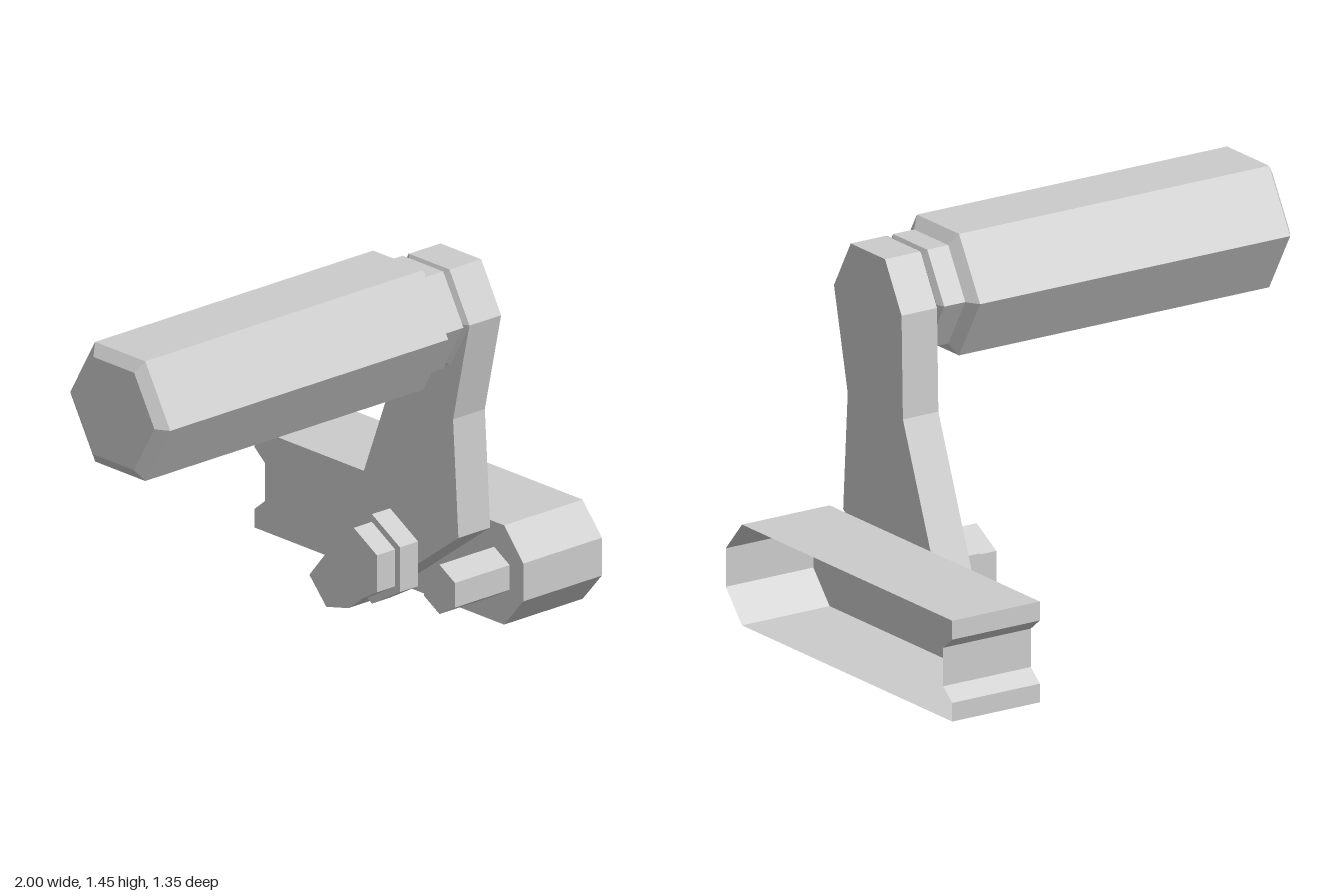
import * as THREE from 'three';

const mat = new THREE.MeshStandardMaterial({ color: 0xcccccc, flatShading: true });
const shellMat = new THREE.MeshStandardMaterial({ color: 0xcccccc, flatShading: true, side: THREE.DoubleSide });

// Outline of [z, y] points as a shape that faces +x once turned
const outline = (pts) => new THREE.Shape(pts.map(([z, y]) => new THREE.Vector2(-z, y)));

// Six-sided bar along x from a profile of [x, radius]; pointed puts corners at top and bottom
function hexBar(name, y, z, profile, pointed = false) {
  const pts = profile.map(([x, r]) => new THREE.Vector2(r, x));
  pts.unshift(new THREE.Vector2(0, profile[0][0]));
  pts.push(new THREE.Vector2(0, profile[profile.length - 1][0]));
  const geo = new THREE.LatheGeometry(pts, 6, pointed ? Math.PI / 6 : 0);
  geo.rotateZ(-Math.PI / 2);
  const mesh = new THREE.Mesh(geo, mat);
  mesh.name = name;
  mesh.position.set(0, y, z);
  return mesh;
}

// Crank arm: bent plate with a hexagonal head
function makeArm() {
  const geo = new THREE.ExtrudeGeometry(outline([
    [0.5, 1.406], [0.295, 1.406], [0.196, 1.23], [0.188, 0.86], [-0.02, 0.32],
    [-0.205, 0.095], [-0.12, 0.002], [-0.01, 0.028], [0.545, 0.44], [0.518, 0.865], [0.6, 1.23],
  ]), { depth: 0.147, bevelEnabled: false });
  geo.rotateY(Math.PI / 2).translate(0.458, 0, 0);
  const mesh = new THREE.Mesh(geo, mat);
  mesh.name = 'crankArm';
  return mesh;
}

// Pedal: thin shell, closed towards the arm and open on its outer side
function makePedal() {
  const x0 = 0.637, x1 = 1;
  const pts = [
    [0.58, 0.45], [-0.677, 0.45], [-0.677, 0.382], [-0.623, 0.338], [-0.623, 0.2],
    [-0.677, 0.155], [-0.677, 0.088], [0.58, 0.088], [0.677, 0.2], [0.677, 0.338],
  ];
  const pos = [];
  pts.forEach(([z, y], i) => {
    const [w, v] = pts[(i + 1) % pts.length];
    pos.push(x0, y, z, x1, y, z, x1, v, w, x0, y, z, x1, v, w, x0, v, w);
  });
  const rim = new THREE.BufferGeometry();
  rim.setAttribute('position', new THREE.Float32BufferAttribute(pos, 3));
  rim.computeVertexNormals();
  const plate = new THREE.ShapeGeometry(outline(pts));
  plate.rotateY(Math.PI / 2).translate(x0, 0, 0);

  const pedal = new THREE.Group();
  pedal.name = 'pedal';
  for (const [name, geo] of [['pedalRim', rim], ['pedalInnerPlate', plate]]) {
    const mesh = new THREE.Mesh(geo, shellMat);
    mesh.name = name;
    pedal.add(mesh);
  }
  return pedal;
}

export function createModel() {
  const model = new THREE.Group();
  model.name = 'crankHandle';
  model.add(
    // Grip with chamfered ends, then collar and pinched neck against the arm
    hexBar('grip', 1.23, 0.397, [[-1, 0.205], [-0.97, 0.252], [0.315, 0.252], [0.343, 0.204]]),
    hexBar('gripCollar', 1.23, 0.397, [[0.343, 0.204], [0.43, 0.204], [0.444, 0.165], [0.458, 0.204]]),
    makeArm(),
    // Washer and bolt head on the inner side of the arm
    hexBar('washer', 0.289, 0.201, [[0.374, 0.163], [0.458, 0.163]], true),
    hexBar('boltHead', 0.289, 0.201, [[0.29, 0.135], [0.374, 0.135]], true),
    // Pin reaching from the pedal past the arm
    hexBar('pedalPin', 0.268, 0.53, [[0.384, 0.09], [0.637, 0.09]], true),
    makePedal(),
  );
  return model;
}
